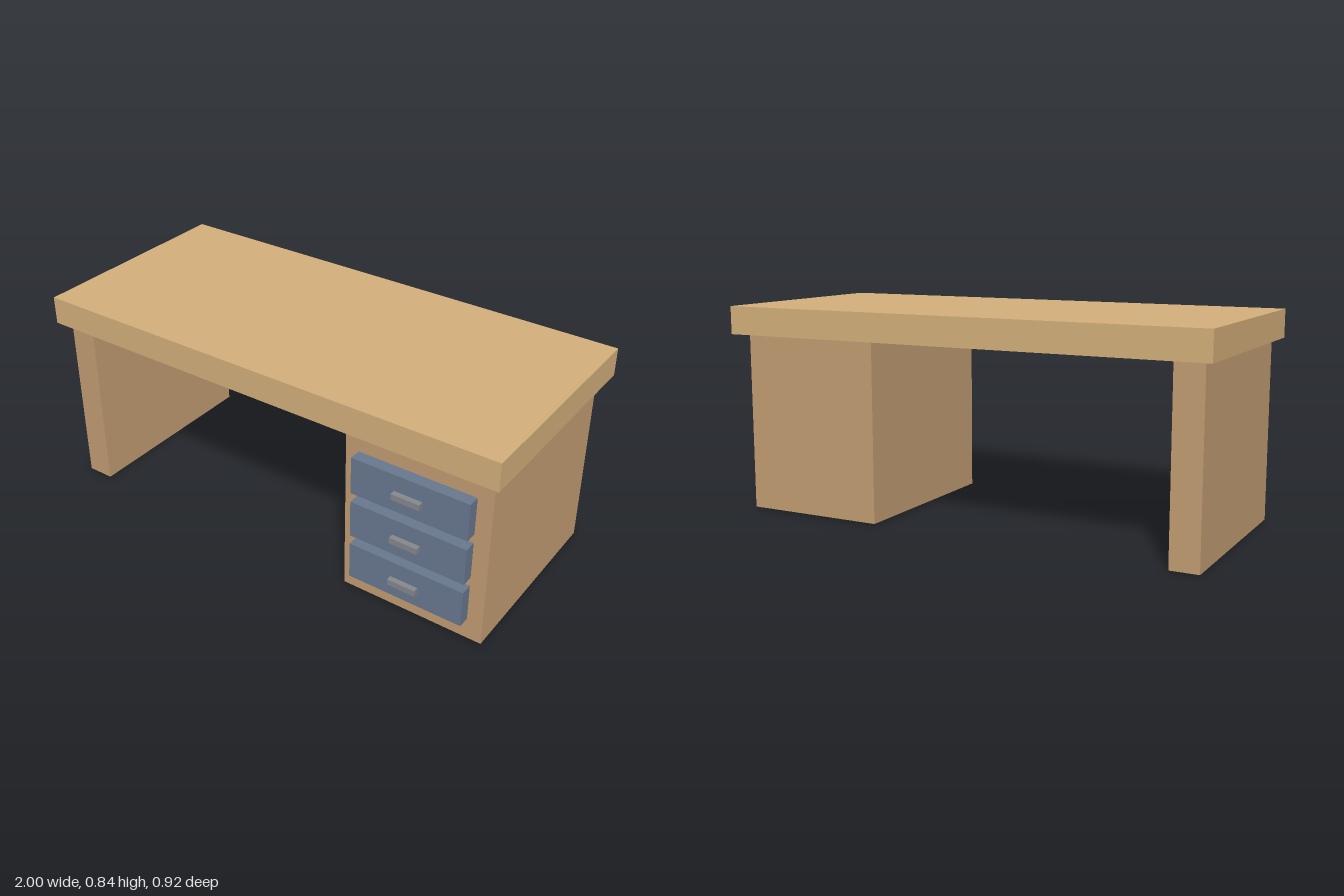
import * as THREE from 'three';

const material = (color) => new THREE.MeshStandardMaterial({ color });

// Box given by its minimum and maximum corners
function block(name, mat, [x0, y0, z0], [x1, y1, z1]) {
  const mesh = new THREE.Mesh(new THREE.BoxGeometry(x1 - x0, y1 - y0, z1 - z0), mat);
  mesh.position.set((x0 + x1) / 2, (y0 + y1) / 2, (z0 + z1) / 2);
  mesh.name = name;
  return mesh;
}

export function createModel() {
  const desk = new THREE.Group();
  desk.name = 'desk';
  const topWood = material(0xd4af7b);
  const sideWood = material(0xc29d73);
  const drawerBlue = material(0x69788f);
  const handleGrey = material(0x85888c);

  // Worktop, side panel and drawer cabinet
  desk.add(
    block('worktop', topWood, [-1, 0.727, -0.461], [1, 0.84, 0.445]),
    block('sidePanel', sideWood, [-0.963, 0, -0.414], [-0.85, 0.727, 0.399]),
    block('drawerCabinet', sideWood, [0.369, 0.004, -0.398], [0.959, 0.725, 0.383]),
  );

  // Three drawers, each with a bar handle
  for (let i = 0; i < 3; i++) {
    const y = 0.098 + i * 0.19;
    const drawer = new THREE.Group();
    drawer.name = `drawer${i + 1}`;
    drawer.add(
      block('drawerFront', drawerBlue, [0.427, y, 0.389], [0.9, y + 0.152, 0.437]),
      block('drawerHandle', handleGrey, [0.607, y + 0.063, 0.439], [0.721, y + 0.087, 0.461]),
    );
    desk.add(drawer);
  }
  return desk;
}
